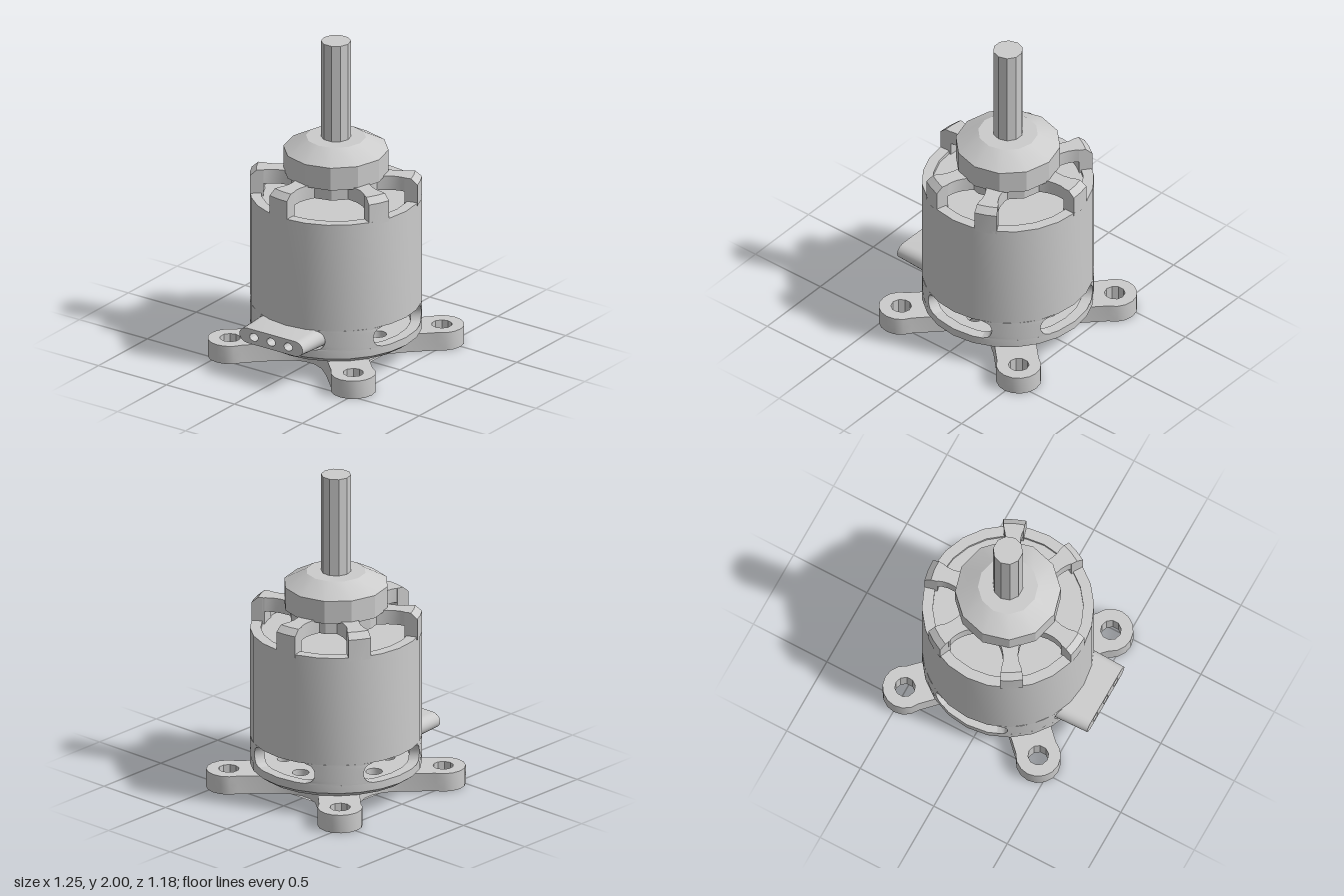
import * as THREE from 'three';
import { toCreasedNormals } from 'three/addons/utils/BufferGeometryUtils.js';

const CX = 0.04; // axis of the motor
const R = 0.515; // outer radius of the can
const material = new THREE.MeshStandardMaterial({ color: 0xcccccc });

export function createModel() {
  const group = new THREE.Group();
  const motor = new THREE.Group();
  motor.name = 'motor';
  motor.position.x = CX;
  group.add(motor);

  const add = (name, geometry, crease = 0.45) => {
    const mesh = new THREE.Mesh(toCreasedNormals(geometry, crease), material);
    mesh.name = name;
    motor.add(mesh);
    return mesh;
  };
  const lathe = (name, points, sides, crease) =>
    add(name, new THREE.LatheGeometry(points.map(p => new THREE.Vector2(...p)), sides), crease);
  const cylinder = (name, r, y0, y1, sides) =>
    add(name, new THREE.CylinderGeometry(r, r, y1 - y0, sides).translate(0, (y0 + y1) / 2, 0));
  const hole = (shape, x, y, r) => shape.holes.push(new THREE.Path().absarc(x, y, r, 0, Math.PI * 2, true));
  const reshape = (geometry, rule) => {
    const p = geometry.attributes.position;
    for (let i = 0; i < p.count; i++) p.setXYZ(i, ...rule(p.getX(i), p.getY(i), p.getZ(i)));
    return geometry;
  };
  // Box bent about the axis: the rule turns u, v, w (-0.5..0.5) into angle, height, radius
  const bentBox = (name, segments, rule) =>
    add(name, reshape(new THREE.BoxGeometry(1, 1, 1, ...segments), (u, v, w) => {
      const [a, y, r] = rule(u, v, w);
      return [r * Math.sin(a), y, r * Math.cos(a)];
    }));

  // Cross mount: four rounded arms with concave fillets between them
  const cross = new THREE.Shape();
  const screws = [];
  const reach = 0.641, half = 0.125;
  for (let i = 0; i < 4; i++) {
    const a = Math.PI / 4 + i * Math.PI / 2;
    const c = Math.cos(a), s = Math.sin(a);
    const at = (along, side) => [along * c - side * s, along * s + side * c];
    if (i === 0) cross.moveTo(...at(0.38, -half));
    cross.lineTo(...at(reach - 0.05, -half));
    cross.absarc(reach * c, reach * s, 0.135, a - 1.95, a + 1.95, false);
    cross.lineTo(...at(0.38, half));
    const b = a + Math.PI / 2, k = half * Math.SQRT2;
    cross.quadraticCurveTo(
      k * Math.cos(a + Math.PI / 4), k * Math.sin(a + Math.PI / 4),
      0.38 * Math.cos(b) + half * Math.sin(b), 0.38 * Math.sin(b) - half * Math.cos(b));
    hole(cross, reach * c, reach * s, 0.062);
    hole(cross, 0.3 * c, 0.3 * s, 0.042);
    screws.push([0.3 * c, 0.3 * s]);
  }
  hole(cross, 0, 0, 0.09);
  const mount = new THREE.ExtrudeGeometry(cross, { depth: 0.115, steps: 2, bevelEnabled: false, curveSegments: 5 });
  // Countersink the inner screw holes on the underside
  reshape(mount, (x, y, z) => {
    if (z < 0.001) for (const [sx, sy] of screws) {
      const d = Math.hypot(x - sx, y - sy);
      if (d < 0.05) return [sx + (x - sx) * 1.9, sy + (y - sy) * 1.9, z];
    }
    return [x, y, z];
  });
  add('crossMount', mount.rotateX(-Math.PI / 2));

  // Floor of the can with vent and screw holes
  const disc = new THREE.Shape().absarc(0, 0, 0.455, 0, Math.PI * 2, false);
  for (let i = 0; i < 8; i++) {
    const a = i * Math.PI / 4;
    hole(disc, 0.31 * Math.cos(a), 0.31 * Math.sin(a), i % 2 ? 0.042 : 0.05);
  }
  const floor = new THREE.ExtrudeGeometry(disc, { depth: 0.055, bevelEnabled: false, curveSegments: 12 });
  add('canFloor', floor.rotateX(-Math.PI / 2).translate(0, 0.116, 0));

  // Can: chamfered lower ring, four pillars between rounded slots, tall upper wall
  lathe('lowerRing', [[0.44, 0.117], [0.47, 0.117], [R, 0.15], [R, 0.2], [0.45, 0.2], [0.44, 0.117]], 24);
  lathe('canWall', [[0.45, 0.33], [R, 0.33], [R, 1.02], [0.45, 1.02], [0.45, 0.33]], 24);
  for (let i = 0; i < 4; i++) {
    bentBox('slotPillar', [6, 10, 1], (u, v, w) => {
      const y = 0.265 + 0.13 * v;
      const round = Math.sqrt(Math.max(0, 0.065 ** 2 - (0.13 * v) ** 2));
      const halfAngle = Math.PI / 4 - 0.37 - round / R;
      return [Math.PI / 4 + i * Math.PI / 2 + 2 * u * halfAngle, y, 0.482 + 0.064 * w];
    });
  }

  // Inside of the can
  cylinder('stator', 0.46, 0.34, 1.0, 24);
  cylinder('innerShaft', 0.045, 0.05, 0.34, 8);

  // Crown: six posts with flared spokes carrying the hub
  for (const side of [-1, 1]) for (const angle of [0.42, 1.69, 2.6]) {
    bentBox('crownPost', [2, 2, 1], (u, v, w) => {
      const y = v < -0.4 ? 1.0 : v < 0.4 ? 1.135 : 1.17;
      const outer = v > 0.4 ? 0.475 : R;
      return [side * angle + 0.27 * u, y, w > 0 ? outer : 0.435];
    });
    bentBox('crownSpoke', [1, 1, 5], (u, v, w) => {
      const r = 0.35 + 0.2 * w;
      const width = 0.09 + 5 * (r - 0.37) ** 2;
      return [side * angle + u * width / r, 1.125 + 0.09 * v, r];
    });
  }
  cylinder('hubPlate', 0.28, 1.08, 1.17, 12);

  // Hub and output shaft
  lathe('hub', [[0, 1.16], [0.316, 1.16], [0.316, 1.305], [0.18, 1.38], [0, 1.38]], 12, 0.3);
  cylinder('outputShaft', 0.09, 1.36, 2, 10);

  // Tapered flat wire outlet with three wire holes, leaving through the right slot
  const outlet = new THREE.Shape();
  outlet.absarc(0.18, 0, 0.06, -Math.PI / 2, Math.PI / 2, false);
  outlet.absarc(-0.18, 0, 0.06, Math.PI / 2, Math.PI * 1.5, false);
  for (const x of [-0.13, 0, 0.13]) hole(outlet, x, 0, 0.032);
  const wire = new THREE.ExtrudeGeometry(outlet, { depth: 0.24, bevelEnabled: false, curveSegments: 6 });
  reshape(wire, (x, y, z) => (z > 0.1 ? [x * 0.97, y * 0.8, z] : [x, y, z]));
  add('wireOutlet', wire.rotateY(-Math.PI / 2).translate(-0.425, 0.272, 0));

  return group;
}
